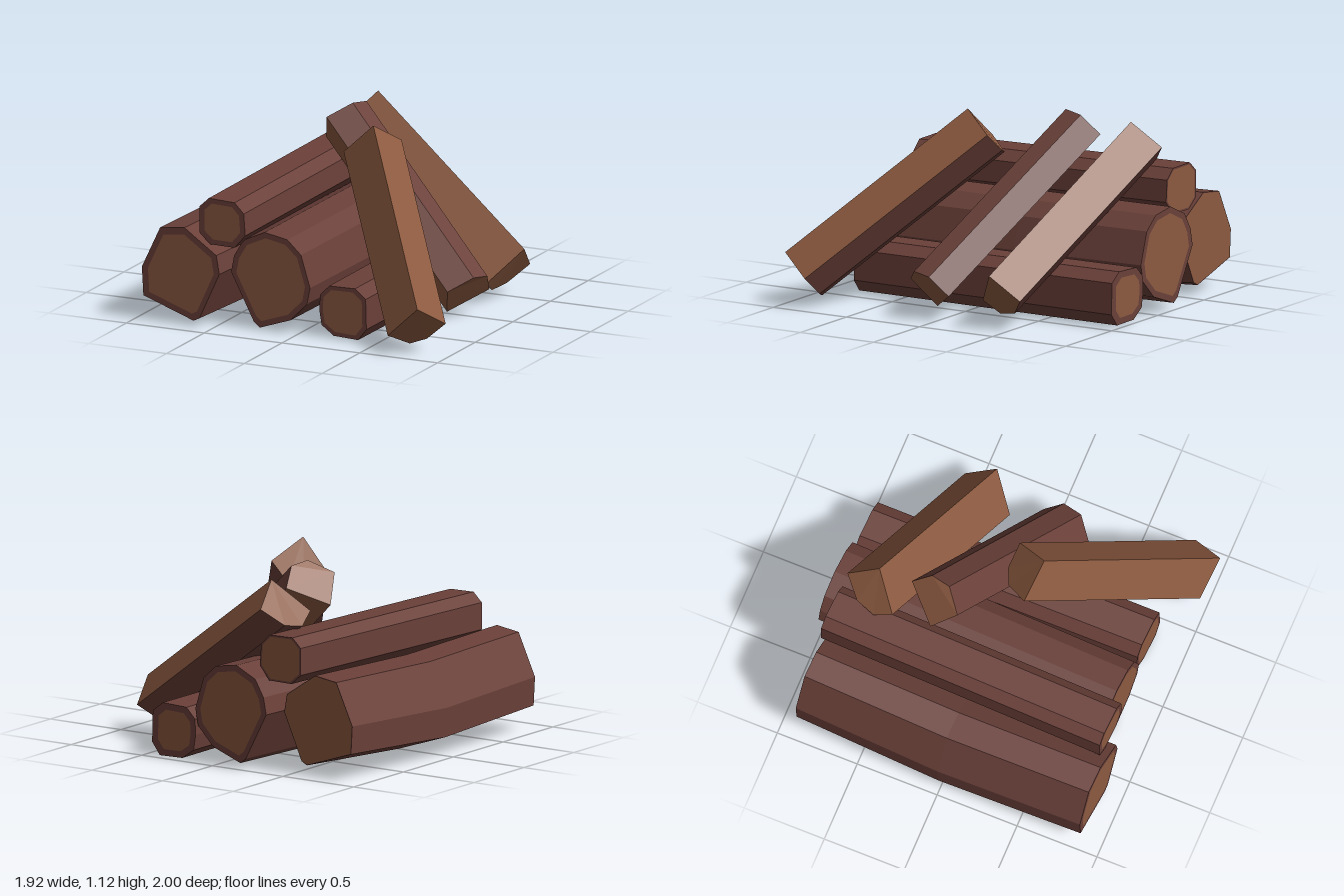
import * as THREE from 'three';

const bark = new THREE.MeshStandardMaterial({ color: 0x6b4039 });
bark.name = 'bark';
const wood = new THREE.MeshStandardMaterial({ color: 0x8c5a40 });
wood.name = 'cutWood';

const V = (x, y, z) => new THREE.Vector3(x, y, z);
const centre = (pts) => pts.reduce((s, p) => s.add(p), V(0, 0, 0)).divideScalar(pts.length);

// Collects flat triangles, turning each one away from the inside point
function addTri(list, inside, a, b, c) {
  const n = b.clone().sub(a).cross(c.clone().sub(a));
  const out = n.dot(a.clone().sub(inside)) >= 0;
  for (const p of out ? [a, b, c] : [a, c, b]) list.push(p.x, p.y, p.z);
}

function addQuad(list, inside, a, b, c, d) {
  addTri(list, inside, a, b, c);
  addTri(list, inside, a, c, d);
}

function addFan(list, inside, pts) {
  for (let i = 1; i < pts.length - 1; i++) addTri(list, inside, pts[0], pts[i], pts[i + 1]);
}

function toMesh(list, material, name) {
  const geo = new THREE.BufferGeometry();
  geo.setAttribute('position', new THREE.Float32BufferAttribute(list, 3));
  geo.computeVertexNormals();
  const mesh = new THREE.Mesh(geo, material);
  mesh.name = name;
  return mesh;
}

function toLog(name, barkList, woodList) {
  const group = new THREE.Group();
  group.name = name;
  group.add(toMesh(barkList, bark, name + 'Bark'), toMesh(woodList, wood, name + 'Wood'));
  return group;
}

// Lying log: one outline swept through sections [z, dx, dy, scale], with bark-rimmed ends
function lyingLog(name, outline, sections, insets) {
  const mid = centre(outline.map(([x, y]) => V(x, y, 0)));
  const rings = sections.map(([z, dx, dy, s]) => outline.map(([x, y]) =>
    V(mid.x + (x - mid.x) * s + dx, mid.y + (y - mid.y) * s + dy, z + (x - mid.x) * 0.05)));
  const inside = centre(rings.flat().map((p) => p.clone()));
  const barkList = [], woodList = [];
  const n = outline.length;
  for (let r = 0; r < rings.length - 1; r++) {
    for (let i = 0; i < n; i++) {
      const j = (i + 1) % n;
      addQuad(barkList, inside, rings[r][i], rings[r][j], rings[r + 1][j], rings[r + 1][i]);
    }
  }
  [rings[0], rings[rings.length - 1]].forEach((ring, e) => {
    const c = centre(ring);
    const inner = ring.map((p) => c.clone().lerp(p, insets[e]));
    for (let i = 0; i < n; i++) {
      const j = (i + 1) % n;
      addQuad(barkList, inside, ring[i], ring[j], inner[j], inner[i]);
    }
    addFan(woodList, inside, inner);
  });
  return toLog(name, barkList, woodList);
}

// Leaning split log: top corners moved along one direction; listed sides are split wood
function splitLog(name, corners, along, woodSides) {
  const top = corners.map((c) => V(...c));
  const bottom = top.map((p) => p.clone().add(V(...along)));
  const inside = centre([...top, ...bottom]);
  const barkList = [], woodList = [];
  top.forEach((p, i) => {
    const j = (i + 1) % top.length;
    addQuad(woodSides.includes(i) ? woodList : barkList, inside, p, top[j], bottom[j], bottom[i]);
  });
  addFan(woodList, inside, top);
  addFan(woodList, inside, bottom);
  return toLog(name, barkList, woodList);
}

export function createModel() {
  const pile = new THREE.Group();
  pile.name = 'woodPile';

  // Four logs lying front to back
  pile.add(lyingLog('bigRightLog',
    [[-0.96, 0.32], [-0.84, 0.57], [-0.68, 0.59], [-0.47, 0.45], [-0.45, 0.34], [-0.58, 0.06], [-0.62, 0.04], [-0.95, 0.15]],
    [[0.89, 0, 0, 1], [0, 0.005, -0.025, 1.03], [-0.9, 0.025, 0.02, 0.98]], [0.85, 0.98]));
  pile.add(lyingLog('bigMiddleLog',
    [[-0.43, 0.33], [-0.41, 0.43], [-0.35, 0.53], [-0.21, 0.595], [-0.06, 0.57], [0.03, 0.49], [0.09, 0.3], [0.07, 0.2], [-0.04, 0.09], [-0.24, 0.02], [-0.28, 0.05]],
    [[0.8, 0, 0, 1], [-0.1, 0.025, 0.01, 1.01], [-0.985, 0.05, 0.025, 1]], [0.87, 0.86]));
  pile.add(lyingLog('smallUpperLog',
    [[-0.6, 0.72], [-0.54, 0.775], [-0.37, 0.77], [-0.31, 0.71], [-0.3, 0.58], [-0.37, 0.5], [-0.53, 0.5], [-0.6, 0.56]],
    [[0.86, 0, 0, 1], [-0.9, 0.04, 0.035, 1]], [0.78, 0.92]));
  pile.add(lyingLog('smallLeftLog',
    [[0.14, 0.26], [0.2, 0.32], [0.37, 0.325], [0.44, 0.27], [0.445, 0.09], [0.39, 0.02], [0.23, 0.025], [0.15, 0.08], [0.135, 0.17]],
    [[0.79, 0, 0, 1], [-0.975, 0, 0, 1.03]], [0.84, 0.75]));

  // Three split logs leaning against the stack
  pile.add(splitLog('frontLeaningLog',
    [[0.19, 1.13, 0.18], [0.28, 1.01, -0.01], [0.15, 0.9, -0.03], [0.06, 0.87, 0.01], [-0.02, 0.94, 0.14]],
    [0.68, -0.82, 0.82], [0, 4]));
  pile.add(splitLog('middleLeaningLog',
    [[-0.28, 1.04, -0.17], [-0.16, 1.115, -0.27], [-0.13, 1.1, -0.39], [-0.17, 0.99, -0.5], [-0.35, 0.88, -0.31]],
    [0.98, -0.83, 0.42], [3, 4]));
  pile.add(splitLog('rearLeaningLog',
    [[-0.2, 1.08, -0.69], [-0.25, 0.94, -0.87], [-0.35, 0.84, -0.77], [-0.39, 0.82, -0.65], [-0.37, 0.89, -0.54]],
    [1.08, -0.75, 0.29], [0, 4]));

  return pile;
}
